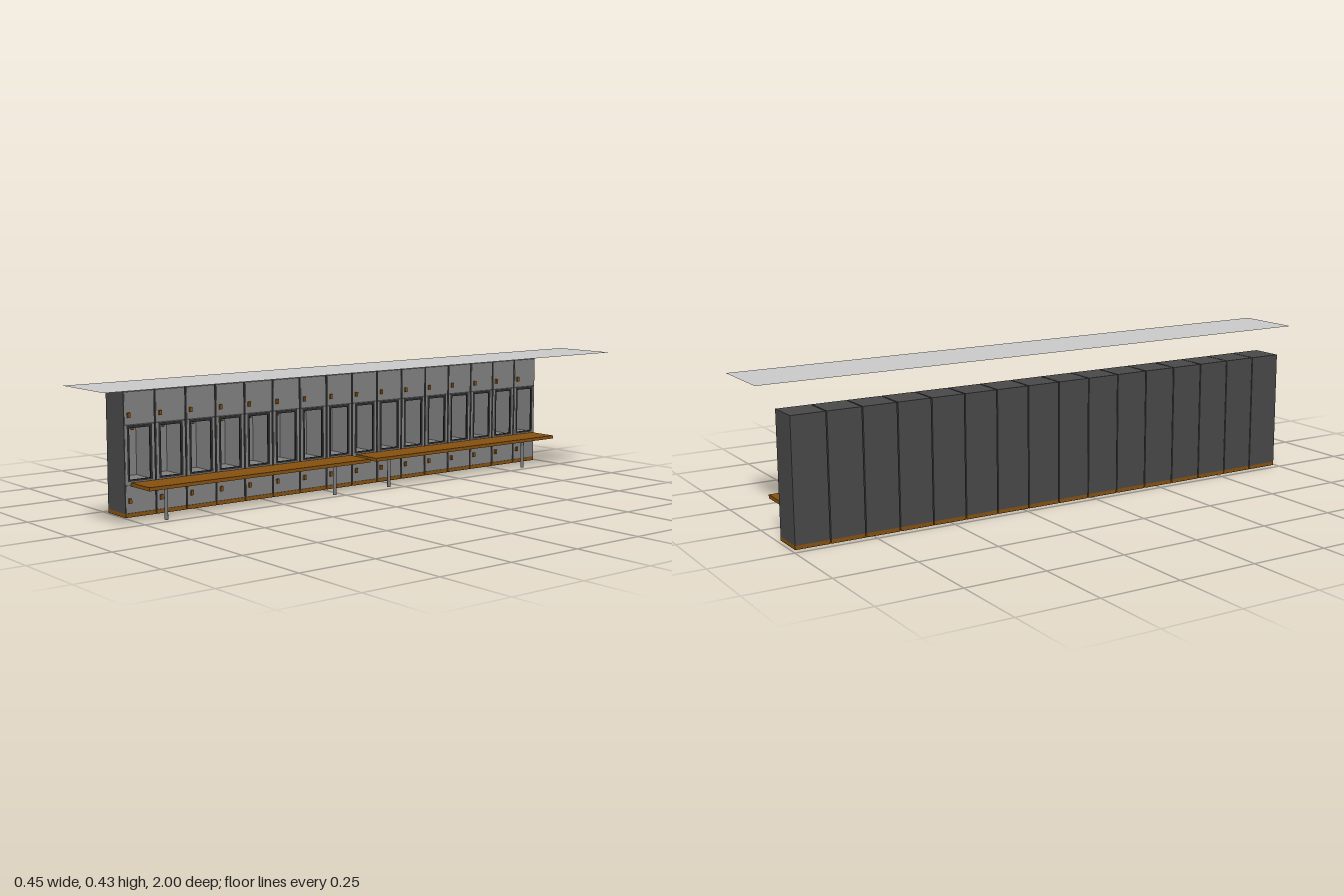
import * as THREE from 'three';

const mat = (name, color, side = THREE.FrontSide) => {
  const m = new THREE.MeshStandardMaterial({ color, side });
  m.name = name;
  return m;
};

export function createModel() {
  const shell = mat('dark grey shell', 0x484848);
  const door = mat('mid grey door', 0x808080);
  const rim = mat('charcoal rim', 0x2c2c2c);
  const wood = mat('brown wood', 0x85500f);
  const metal = mat('leg metal', 0x7a7a7a);
  const under = mat('black underside', 0x080808);
  const pale = mat('pale panel', 0xcacaca, THREE.DoubleSide);

  const model = new THREE.Group();
  model.name = 'lockerRow';

  // box given by its minimum and maximum on each axis
  const box = (parent, name, material, x0, x1, y0, y1, z0, z1) => {
    const mesh = new THREE.Mesh(new THREE.BoxGeometry(x1 - x0, y1 - y0, z1 - z0), material);
    mesh.position.set((x0 + x1) / 2, (y0 + y1) / 2, (z0 + z1) / 2);
    mesh.name = name;
    parent.add(mesh);
  };

  const back = -0.226, face = -0.122, front = -0.121, half = 0.0525;
  const low = 0.108, high = 0.277; // open cubby between the two doors
  const inner = 0.043, hole = 0.035;

  function buildLocker() {
    const g = new THREE.Group();
    g.name = 'locker';

    // plinth and carcass
    box(g, 'underside', under, back, front, 0, 0.001, -half, half);
    box(g, 'plinth', wood, back, front, 0.001, 0.012, -half, half);
    box(g, 'lowerCabinet', shell, back, face, 0.012, low, -half, half);
    box(g, 'upperCabinet', shell, back, face, high, 0.38, -half, half);
    box(g, 'backWall', shell, back, -0.216, low, high, -half, half);
    for (const s of [-1, 1]) {
      const a = s * inner, b = s * half;
      box(g, 'sideWall', shell, -0.216, face, low, high, Math.min(a, b), Math.max(a, b));
    }

    // door faces with a thin dark reveal around them
    const d = half - 0.002;
    box(g, 'lowerDoor', door, face, front, 0.014, 0.096, -d, d);
    box(g, 'middleRail', door, face, front, 0.098, low, -d, d);
    box(g, 'upperDoor', door, face, front, 0.281, 0.377, -d, d);

    // cubby lining
    box(g, 'cubbyBack', door, -0.216, -0.215, low, high, -inner, inner);
    box(g, 'cubbyFloor', door, -0.215, face, low, low + 0.001, -inner, inner);
    box(g, 'cubbyCeiling', door, -0.215, face, high - 0.001, high, -inner, inner);
    for (const s of [-1, 1]) {
      const span = (a, b) => [Math.min(s * a, s * b), Math.max(s * a, s * b)];
      box(g, 'cubbyCheek', door, -0.215, face, low, high, ...span(inner - 0.001, inner));
      box(g, 'stile', door, face, front, low, high, ...span(inner, d));
      box(g, 'rimSide', rim, -0.125, front, low, high, ...span(hole, inner));
    }
    box(g, 'rimTop', rim, -0.125, front, high - 0.008, high, -hole, hole);
    box(g, 'rimBottom', rim, -0.125, front, low, low + 0.006, -hole, hole);

    // coat hooks
    for (let i = 0; i < 4; i++) {
      const z = (i - 1.5) * 0.018;
      box(g, 'hook', wood, -0.215, -0.205, 0.25, 0.264, z - 0.003, z + 0.003);
    }

    // door handles
    for (const y of [0.301, 0.043])
      box(g, 'handle', wood, front, -0.115, y, y + 0.015, 0.033, 0.042);
    return g;
  }

  // sixteen lockers in a row
  const locker = buildLocker();
  for (let i = 0; i < 16; i++) {
    const copy = locker.clone();
    copy.position.z = 0.6915 - i * 0.1085;
    model.add(copy);
  }

  // two benches on round legs
  box(model, 'bench', wood, -0.115, -0.01, 0.095, 0.106, -0.11, 0.727);
  box(model, 'bench', wood, -0.115, -0.01, 0.095, 0.106, -0.975, -0.135);
  const legGeo = new THREE.CylinderGeometry(0.0055, 0.0055, 0.095, 20);
  for (const z of [0.66, 0.025, -0.205, -0.835]) {
    const leg = new THREE.Mesh(legGeo, metal);
    leg.position.set(-0.028, 0.0475, z);
    leg.name = 'benchLeg';
    model.add(leg);
  }

  // overhead sheet
  const panel = new THREE.Mesh(new THREE.PlaneGeometry(0.23, 2), pale);
  panel.rotation.x = -Math.PI / 2;
  panel.position.set(0.111, 0.425, 0);
  panel.name = 'overheadPanel';
  model.add(panel);

  return model;
}
